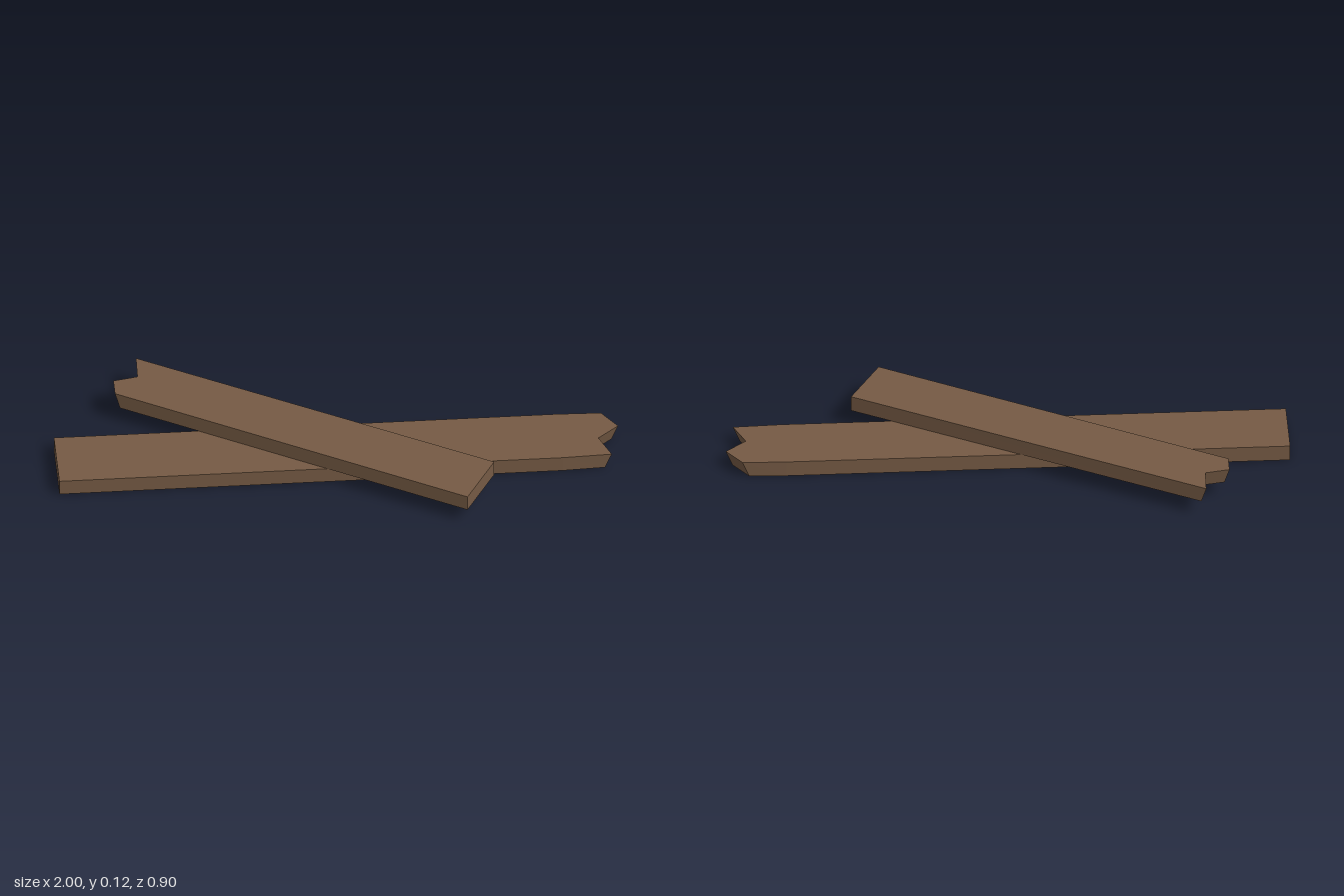
import * as THREE from 'three';

const THICKNESS = 0.0575;

// Plank from an [x, z] outline; points accepted by isBroken lean back along the plank at the underside.
function plank(name, outline, y, isBroken, lean, material) {
  const shape = new THREE.Shape(outline.map(([x, z]) => new THREE.Vector2(x, -z)));
  const geometry = new THREE.ExtrudeGeometry(shape, { depth: THICKNESS, bevelEnabled: false });
  geometry.rotateX(-Math.PI / 2);
  const p = geometry.attributes.position;
  for (let i = 0; i < p.count; i++) {
    if (p.getY(i) < THICKNESS / 2 && isBroken(p.getX(i))) {
      p.setX(i, p.getX(i) + lean[0]);
      p.setZ(i, p.getZ(i) + lean[1]);
    }
  }
  geometry.computeVertexNormals();
  const mesh = new THREE.Mesh(geometry, material);
  mesh.name = name;
  mesh.position.y = y;
  return mesh;
}

export function createModel() {
  const wood = new THREE.MeshStandardMaterial({ color: 0x755a44 });
  wood.name = 'brown wood';
  const group = new THREE.Group();
  group.name = 'crossedPlanks';

  // Lower plank, splintered at its +x end
  group.add(plank('lowerPlank', [
    [-1, -0.085], [0.79, -0.085], [0.945, -0.08], [1, 0],
    [0.925, 0.065], [0.965, 0.163], [0.79, 0.17], [-1, 0.17],
  ], 0, (x) => x > 0.85, [-0.024, 0], wood));

  // Upper plank lying diagonally across, splintered at its -x end
  group.add(plank('upperPlank', [
    [0.43, 0.447], [0.54, 0.25], [-0.68, -0.45],
    [-0.683, -0.342], [-0.77, -0.325], [-0.77, -0.25],
  ], THICKNESS, (x) => x < -0.6, [0.017, 0.01], wood));

  return group;
}
